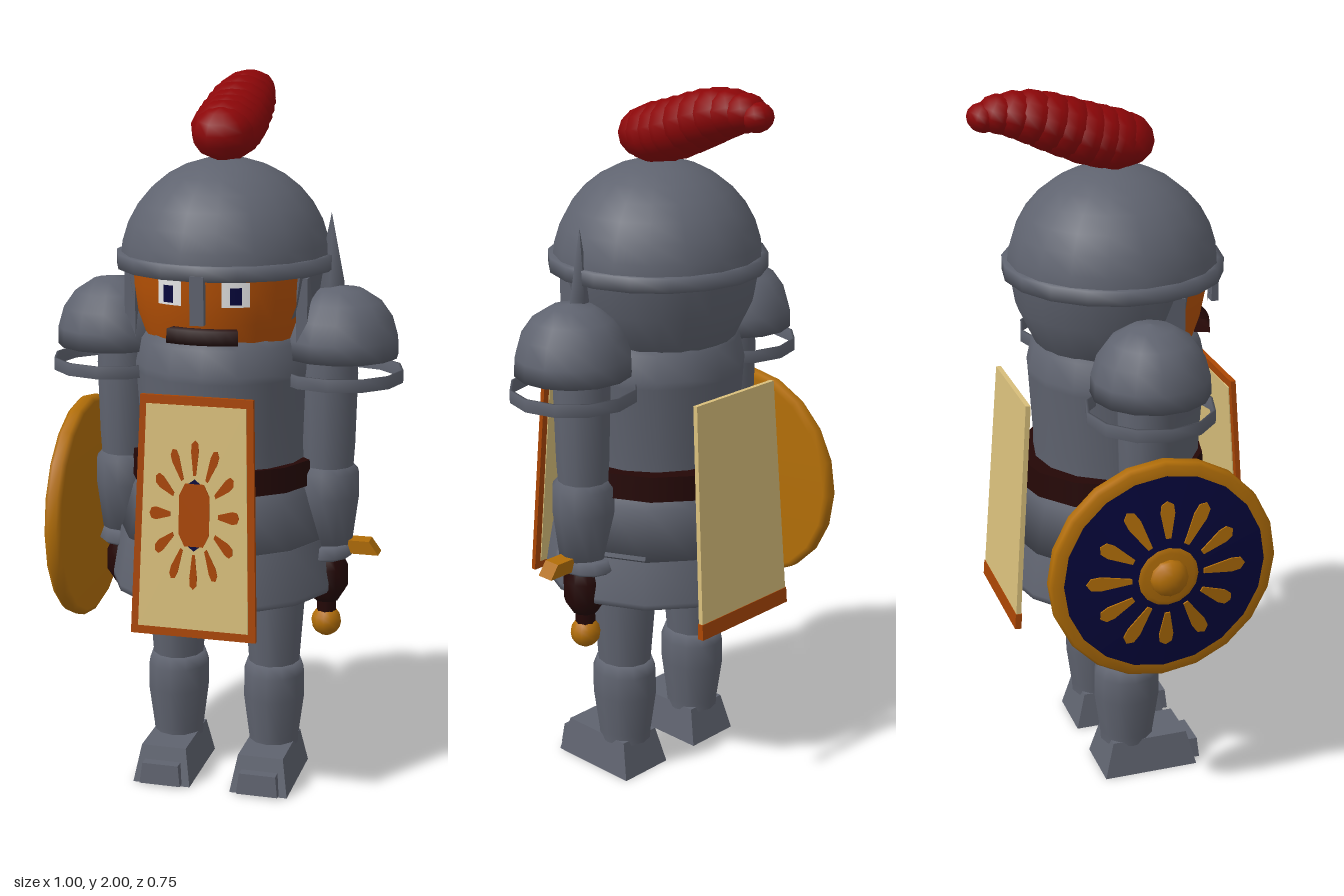
import * as THREE from 'three';

const mat = (name, color) => Object.assign(
  new THREE.MeshStandardMaterial({ color, side: THREE.DoubleSide }), { name });
const steel = mat('steel', 0x5f636f);
const red = mat('plumeRed', 0x8c0608);
const skin = mat('skin', 0xb85204);
const rust = mat('rust', 0xaa4604);
const gold = mat('gold', 0xb26e08);
const tan = mat('tanCloth', 0xdac07c);
const brown = mat('darkBrown', 0x240706);
const navy = mat('navy', 0x05053c);
const white = mat('eyeWhite', 0xf4f4f4);

const v2 = (pts) => pts.map(([x, y]) => new THREE.Vector2(x, y));
const lathe = (pts, seg = 16, start = 0, len = Math.PI * 2) =>
  new THREE.LatheGeometry(v2(pts), seg, start, len);
const ball = (r, w = 14, h = 10) => new THREE.SphereGeometry(r, w, h);
const box = (x, y, z) => new THREE.BoxGeometry(x, y, z);

function add(parent, name, geo, material, x = 0, y = 0, z = 0) {
  const m = new THREE.Mesh(geo, material);
  m.name = name;
  m.position.set(x, y, z);
  parent.add(m);
  return m;
}

function group(parent, name, x = 0, y = 0, z = 0) {
  const g = new THREE.Group();
  g.name = name;
  g.position.set(x, y, z);
  parent.add(g);
  return g;
}

// Flat outline given depth, centred in z
const slab = (pts, depth) => new THREE.ExtrudeGeometry(new THREE.Shape(v2(pts)),
  { depth, bevelEnabled: false }).translate(0, 0, -depth / 2);

// Flat trapezoid plate centred on its own origin
const plate = (top, bottom, height, depth) => slab(
  [[-bottom, -height / 2], [bottom, -height / 2], [top, height / 2], [-top, height / 2]], depth);

// Sun ray: a drop that widens outwards along +y
const drop = (w, l, depth) => slab([[-0.35 * w, -l], [0.35 * w, -l], [w, 0.35 * l], [0.85 * w, 0.8 * l],
  [0, l], [-0.85 * w, 0.8 * l], [-w, 0.35 * l]], depth);

// Box narrowed towards its top
function taperedBox(w, h, d, kx, kz) {
  const g = box(w, h, d).toNonIndexed();
  const p = g.attributes.position;
  for (let i = 0; i < p.count; i++) {
    if (p.getY(i) > 0) p.setXYZ(i, p.getX(i) * kx, p.getY(i), p.getZ(i) * kz);
  }
  g.computeVertexNormals();
  return g;
}

function buildHead(root) {
  const head = group(root, 'head', 0, 0, 0.015);
  add(head, 'face', lathe([[0.222, 1.29], [0.245, 1.36], [0.26, 1.44], [0.264, 1.52]],
    16, -Math.PI / 2, Math.PI), skin);
  add(head, 'neckGuard', lathe([[0.16, 1.24], [0.215, 1.3], [0.262, 1.4], [0.28, 1.51]],
    16, Math.PI / 3, Math.PI * 4 / 3), steel);
  const dome = add(head, 'helmetDome', new THREE.SphereGeometry(0.29, 18, 8, 0, Math.PI * 2, 0, Math.PI / 2),
    steel, 0, 1.5, 0.005);
  dome.scale.y = 0.97;
  add(head, 'helmetRim', lathe([[0.275, 1.485], [0.303, 1.485], [0.303, 1.525], [0.275, 1.525]], 18), steel, 0, 0, 0.005);
  add(head, 'noseGuard', box(0.038, 0.13, 0.02), steel, 0, 1.435, 0.3);
  add(head, 'moustache', lathe([[0.225, 1.31], [0.275, 1.31], [0.272, 1.348], [0.23, 1.35]], 6, -0.37, 0.74), brown);
  for (const s of [-1, 1]) {
    // Eyes are thin curved patches on the face
    const patch = (r, w, h) => new THREE.CylinderGeometry(r, r, h, 3, 1, true, s * 0.35 - w / 2, w);
    add(head, 'eyeWhite', patch(0.267, 0.28, 0.066), white, 0, 1.445);
    add(head, 'iris', patch(0.271, 0.115, 0.046), navy, 0, 1.442);
    add(head, 'cheekPlate', box(0.03, 0.18, 0.08), steel, s * 0.241, 1.385, 0.085);
  }
  // Plume: overlapping blobs [z, y, radius] arching to the back
  const blobs = [[0.055, 1.848, 0.083], [0.02, 1.852, 0.095], [-0.02, 1.862, 0.097], [-0.06, 1.874, 0.097],
    [-0.11, 1.893, 0.094], [-0.155, 1.91, 0.09], [-0.2, 1.925, 0.083], [-0.245, 1.935, 0.072],
    [-0.29, 1.94, 0.06], [-0.333, 1.934, 0.045]];
  const plume = group(root, 'plume');
  for (const [z, y, r] of blobs) {
    const b = add(plume, 'plumeTuft', ball(r, 10, 7), red, 0, y, z);
    b.scale.set(1.05, 0.87, 0.95);
    b.rotation.x = 0.3;
  }
}

function buildBody(root) {
  const body = group(root, 'body', 0, 0, 0.03);
  add(body, 'breastplate', lathe([[0.235, 0.9], [0.235, 1.0], [0.248, 1.2], [0.25, 1.22],
    [0.235, 1.29], [0.2, 1.33], [0, 1.33]], 16), steel);
  add(body, 'belt', new THREE.CylinderGeometry(0.264, 0.27, 0.07, 14), brown, 0, 0.925, -0.018);
  add(body, 'upperSkirt', lathe([[0, 0.72], [0.298, 0.72], [0.264, 0.86], [0.24, 0.9]], 14), steel, 0, 0, -0.004);
  add(body, 'lowerSkirt', lathe([[0.31, 0.585], [0.32, 0.585], [0.32, 0.6], [0.297, 0.735], [0.28, 0.735]], 14), steel);
}

function buildTabards(root) {
  for (const side of ['front', 'back']) {
    const isFront = side === 'front';
    const t = group(root, side + 'Tabard', 0, 0.85, isFront ? 0.345 : -0.29);
    t.rotation.order = 'YXZ';
    t.rotation.set(-0.07, isFront ? 0 : Math.PI, 0);
    add(t, 'cloth', plate(0.155, 0.175, 0.66, 0.014), isFront ? rust : tan);
    if (!isFront) {
      add(t, 'hem', plate(0.176, 0.177, 0.045, 0.018), rust, 0, -0.31, 0);
      continue;
    }
    add(t, 'innerCloth', plate(0.137, 0.154, 0.613, 0.02), tan);
    // Sunburst emblem
    const sun = group(t, 'sunEmblem', 0, 0.01, 0.011);
    sun.scale.y = 1.65;
    add(sun, 'sunShade', new THREE.CircleGeometry(0.06, 12), navy, 0, 0, 0.0005).scale.x = 0.55;
    add(sun, 'sunCore', slab([[-0.026, -0.052], [0.026, -0.052], [0.042, -0.032], [0.042, 0.032],
      [0.026, 0.052], [-0.026, 0.052], [-0.042, 0.032], [-0.042, -0.032]], 0.004), rust);
    for (let i = 0; i < 12; i++) {
      const a = i * Math.PI / 6;
      const ray = add(sun, 'sunRay', drop(0.0105, 0.029, 0.003), rust, Math.sin(a) * 0.095, Math.cos(a) * 0.095, 0);
      ray.rotation.z = -a;
    }
  }
}

function buildLimbs(root) {
  for (const s of [-1, 1]) {
    const arm = group(root, s > 0 ? 'leftArm' : 'rightArm', s * 0.295, 0, 0.02);
    add(arm, 'upperArm', lathe([[0.07, 0.92], [0.075, 1.0], [0.08, 1.2], [0.07, 1.3]], 12), steel);
    add(arm, 'forearm', lathe([[0, 0.71], [0.07, 0.71], [0.088, 0.85], [0.087, 0.92], [0.06, 0.95], [0, 0.95]], 12), steel);
    const cuff = add(arm, 'cuff', lathe([[0, 0.675], [0.085, 0.675], [0.098, 0.685], [0.085, 0.715], [0, 0.72]], 12), steel);
    cuff.scale.x = 0.8;
    add(arm, 'hand', lathe([[0, 0.54], [0.035, 0.54], [0.06, 0.58], [0.06, 0.64], [0.04, 0.68]], 10), brown);
    const pauldron = add(arm, 'pauldron', lathe([[0, 1.25], [0.16, 1.25], [0.158, 1.3], [0.142, 1.355],
      [0.11, 1.4], [0.06, 1.432], [0, 1.442]], 14), steel, s * 0.03, 0, 0);
    pauldron.rotation.y = 0.1;
    add(arm, 'pauldronRing', lathe([[0.168, 1.18], [0.175, 1.18], [0.175, 1.215], [0.168, 1.215], [0.168, 1.18]], 12),
      steel, s * 0.03, 0, 0);

    const leg = group(root, s > 0 ? 'leftLeg' : 'rightLeg', s * 0.143, 0, 0.018);
    const legArmour = group(leg, 'legArmour');
    legArmour.scale.x = 0.92;
    add(legArmour, 'thigh', lathe([[0.075, 0.3], [0.08, 0.34], [0.098, 0.56], [0.09, 0.6], [0, 0.6]], 12), steel);
    add(legArmour, 'greave', lathe([[0.078, 0.09], [0.08, 0.12], [0.097, 0.24], [0.096, 0.31], [0.083, 0.345], [0, 0.345]], 12), steel);
    add(leg, 'foot', taperedBox(0.168, 0.105, 0.28, 0.78, 0.8), steel, 0, 0.0525, 0.052);
    add(leg, 'toeCap', taperedBox(0.12, 0.06, 0.06, 0.88, 0.8), steel, 0, 0.036, 0.18);
  }
}

function buildSword(root) {
  const sword = group(root, 'sword', 0.295, 0, 0.02);
  const blade = add(sword, 'blade', lathe([[0.042, 0.7], [0.038, 1.45], [0, 1.64]], 4), steel);
  blade.scale.z = 0.4;
  add(sword, 'crossguard', taperedBox(0.3, 0.038, 0.05, 0.82, 1), gold, 0, 0.706, 0);
  add(sword, 'grip', new THREE.CylinderGeometry(0.028, 0.028, 0.18, 8), brown, 0, 0.58, 0);
  add(sword, 'pommel', ball(0.043, 12, 8), gold, 0, 0.475, 0);
}

function buildShield(root) {
  // Local +y points outward from the shield face
  const shield = group(root, 'shield', -0.385, 0.77, 0.03);
  shield.rotation.z = Math.PI / 2;
  add(shield, 'shieldRim', lathe([[0, 0], [0.305, 0], [0.32, 0.01], [0.32, 0.035], [0.312, 0.046], [0.284, 0.048]], 20), gold);
  add(shield, 'shieldFace', lathe([[0.29, 0.0455], [0, 0.08]], 20), navy);
  add(shield, 'bossBase', lathe([[0.085, 0.073], [0.072, 0.079], [0, 0.084]], 16), gold);
  const boss = add(shield, 'boss', ball(0.055, 12, 8), gold, 0, 0.075, 0);
  boss.scale.y = 0.75;
  for (let i = 0; i < 12; i++) {
    const pivot = group(shield, 'shieldRayPivot');
    pivot.rotation.y = i * Math.PI / 6;
    const ray = add(pivot, 'shieldRay', drop(0.02, i % 2 ? 0.052 : 0.062, 0.008), gold, 0, 0.061, 0.163);
    ray.rotation.x = Math.PI / 2 + 0.12;
  }
}

export function createModel() {
  const root = new THREE.Group();
  root.name = 'knight';
  buildHead(root);
  buildBody(root);
  buildTabards(root);
  buildLimbs(root);
  buildSword(root);
  buildShield(root);
  return root;
}
